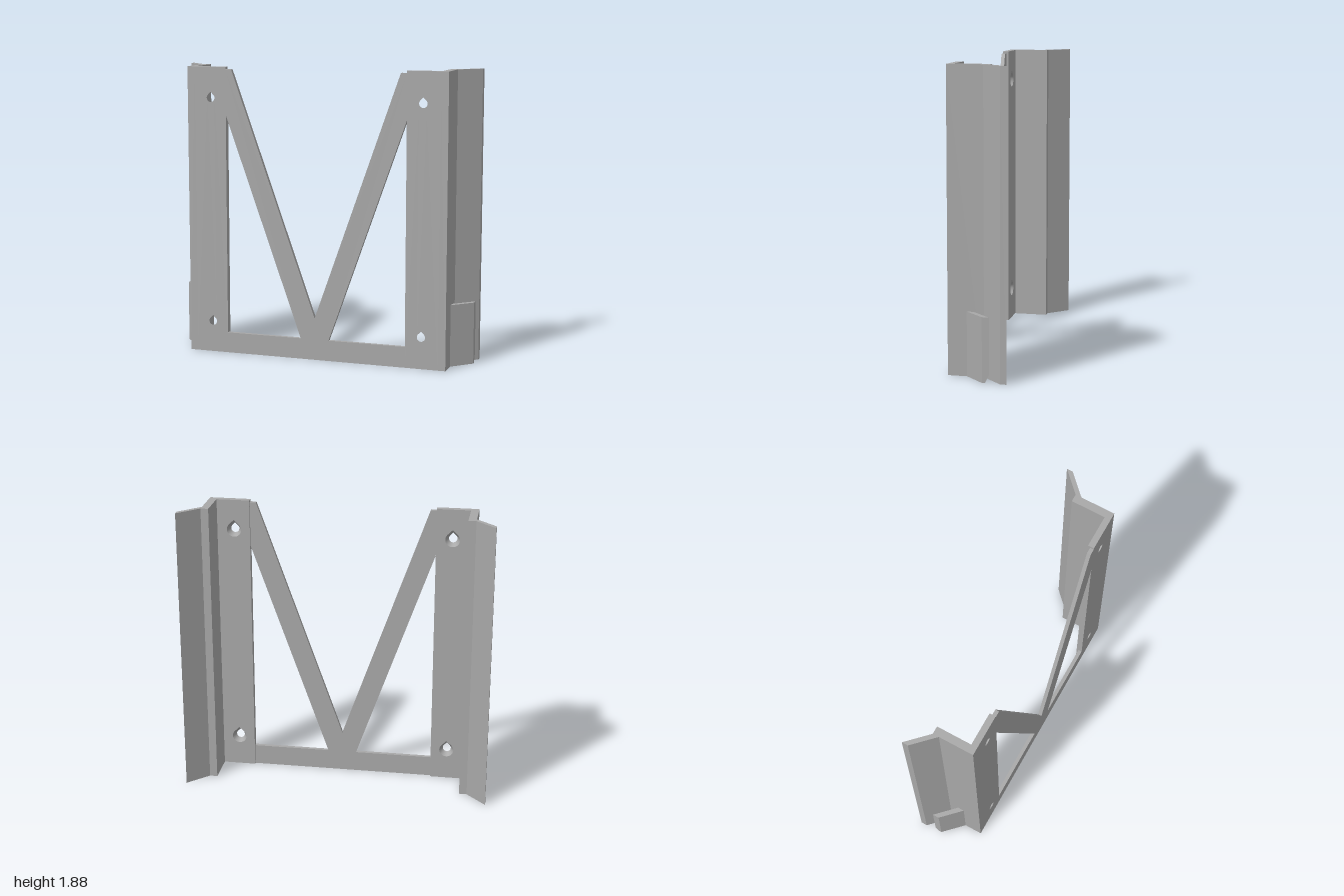
import * as THREE from 'three';

const H = 1.88, FRONT = 0.195, HOLE_X = 0.71, HOLES_Y = [0.205, 1.68], R = 0.027;

const shapeOf = (pts) => new THREE.Shape(pts.map(([x, y]) => new THREE.Vector2(x, y)));
const extrude = (shape, depth) =>
  new THREE.ExtrudeGeometry(shape, { depth, bevelEnabled: false, curveSegments: 24 });

// Move every vertex by a rule, then rebuild normals
function warp(geo, rule) {
  const p = geo.attributes.position, v = new THREE.Vector3();
  for (let i = 0; i < p.count; i++) {
    rule(v.fromBufferAttribute(p, i));
    p.setXYZ(i, v.x, v.y, v.z);
  }
  geo.computeVertexNormals();
  return geo;
}

// Mirror across x = 0, keeping faces outward
function mirror(geo) {
  const g = geo.clone(), p = g.attributes.position, a = new THREE.Vector3(), b = new THREE.Vector3();
  for (let i = 0; i < p.count; i += 3) {
    a.fromBufferAttribute(p, i);
    b.fromBufferAttribute(p, i + 1);
    p.setXYZ(i, b.x, b.y, b.z);
    p.setXYZ(i + 1, a.x, a.y, a.z);
  }
  return warp(g, (v) => { v.x = -v.x; });
}

// Front flange with two teardrop holes that widen towards the back
function flangeGeometry() {
  const shape = shapeOf([[0.605, 0], [0.82, 0], [0.82, H], [0.605, H]]);
  for (const y of HOLES_Y) {
    const hole = new THREE.Path();
    hole.absarc(HOLE_X, y, R, Math.PI * 0.75, Math.PI * 2.25, false);
    hole.lineTo(HOLE_X, y + R * 1.4);
    hole.closePath();
    shape.holes.push(hole);
  }
  const geo = extrude(shape, 0.04);
  warp(geo, (v) => {
    if (v.z > 0.01) return;
    for (const y of HOLES_Y) {
      if (Math.hypot(v.x - HOLE_X, v.y - y) < 0.05) {
        v.x = HOLE_X + (v.x - HOLE_X) * 1.75;
        v.y = y + (v.y - y) * 1.75;
        break;
      }
    }
  });
  return geo.translate(0, 0, FRONT - 0.04);
}

// Side wall and angled wing: plan profile (x, z) raised to full height
function wallGeometry() {
  const plan = [[0.82, FRONT], [0.87, FRONT], [0.87, -0.03], [1, -0.16], [1, -0.2], [0.87, -0.07], [0.82, -0.07]];
  return extrude(shapeOf(plan.map(([x, z]) => [x, -z])), H).rotateX(-Math.PI / 2);
}

// Short angled clip with a lead-in chamfer at the bottom of its back face
function clipGeometry() {
  const side = [[0.078, 0], [0.078, 0.4], [0.035, 0.4], [0.035, 0.05], [0.06, 0]];
  const geo = extrude(shapeOf(side.map(([z, y]) => [-z, y])), 0.125).rotateY(Math.PI / 2);
  return warp(geo.translate(0.868, 0, 0), (v) => { v.z -= v.x - 0.868; });
}

export function createModel() {
  const grey = new THREE.MeshStandardMaterial({ color: 0xa8a8a8 });
  grey.name = 'grey';
  const model = new THREE.Group();
  model.name = 'bracket';
  const add = (name, geo) => {
    const mesh = new THREE.Mesh(geo, grey);
    mesh.name = name;
    model.add(mesh);
  };

  // V-shaped brace with bottom bar
  const half = [[0.605, 0], [0.605, 0.135], [0.095, 0.135], [0.605, 1.57], [0.605, 1.865], [0.565, 1.865]];
  const outline = [...half, [0, 0.275], ...half.map(([x, y]) => [-x, y]).reverse()];
  add('brace', extrude(shapeOf(outline), 0.025).translate(0, 0, FRONT - 0.025));

  // Matching parts on both sides
  const parts = { Flange: flangeGeometry(), WallAndWing: wallGeometry(), Clip: clipGeometry() };
  for (const [name, geo] of Object.entries(parts)) {
    add('left' + name, geo);
    add('right' + name, mirror(geo));
  }
  return model;
}
